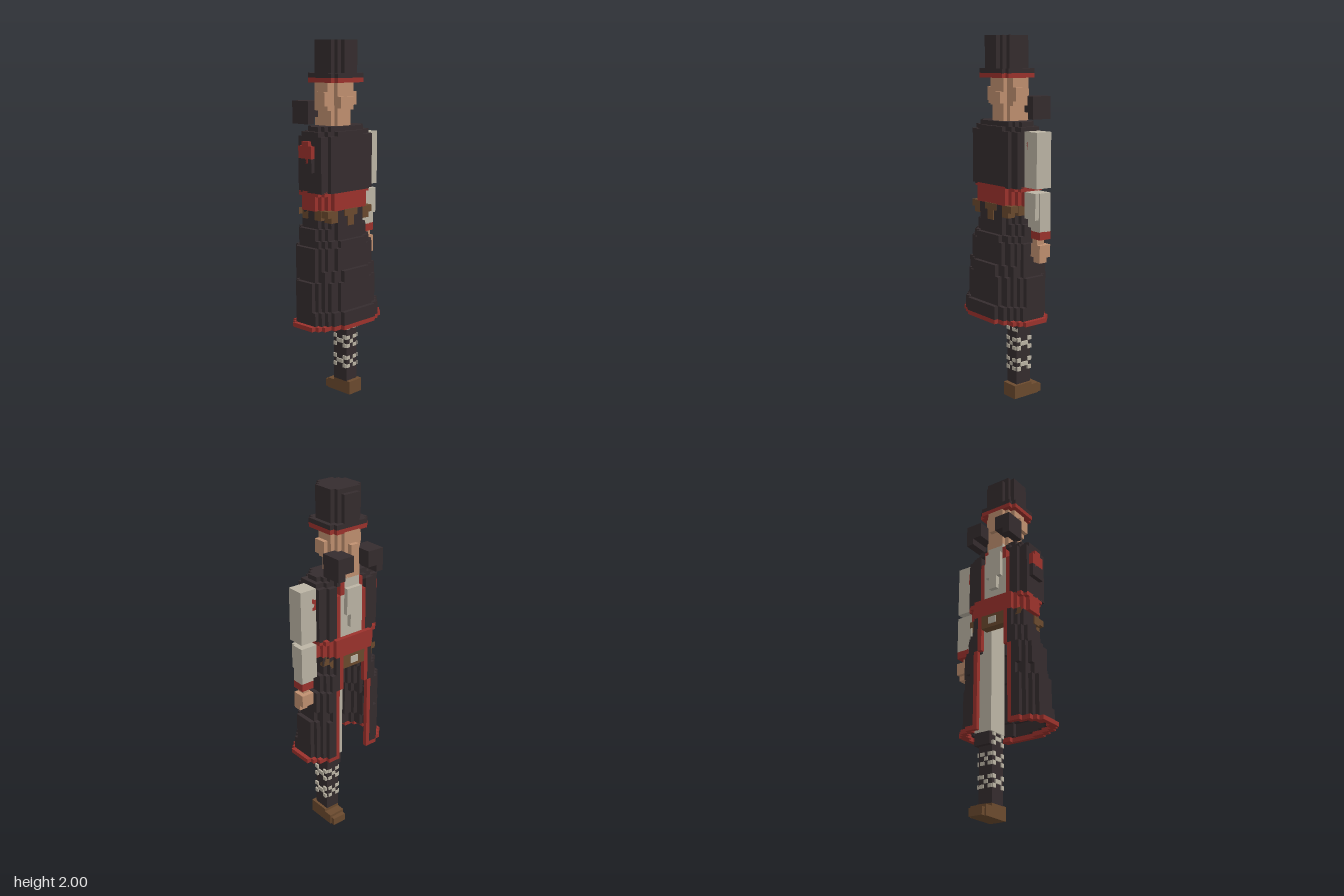
import * as THREE from 'three';
import { mergeGeometries } from 'three/addons/utils/BufferGeometryUtils.js';

const V = 2 / 81; // voxel size
const mat = (name, color) => {
  const m = new THREE.MeshStandardMaterial({ color });
  m.name = name;
  return m;
};

export function createModel() {
  const root = new THREE.Group();
  root.name = 'voxelFigure';
  const dark = mat('darkCloth', 0x352c2e), red = mat('redTrim', 0x9c322c), skin = mat('skin', 0xc09070);
  const cream = mat('creamLinen', 0xbcb5a5), brown = mat('brownLeather', 0x6b4a2e);

  // Box in voxel units: x cells i0..i1, heights y0..y1, z cells k0..k1
  const box = (i0, i1, y0, y1, k0, k1) => {
    const w = i1 - i0 + 1, d = k1 - k0 + 1, h = y1 - y0;
    return new THREE.BoxGeometry(w * V, h * V, d * V)
      .translate((i0 + i1) / 2 * V, (y0 + y1) / 2 * V, (k0 + k1) / 2 * V);
  };
  const part = (name, material, geos) => {
    const m = new THREE.Mesh(mergeGeometries(geos), material);
    m.name = name;
    root.add(m);
  };
  const boxes = (name, material, list) => part(name, material, list.map(b => box(...b)));
  // Mirror about the body axis, half a cell right of the origin
  const both = list => list.flatMap(([a, b, ...r]) => [[a, b, ...r], [-1 - b, -1 - a, ...r]]);
  // One layer of cells, joined into rows; inside(u, k) with u measured from the body axis
  const layer = (y0, y1, inside) => {
    const out = [];
    for (let k = -8; k <= 8; k++) {
      let start = null;
      for (let i = -13; i <= 13; i++) {
        const on = inside(i + 0.5, k);
        if (on && start === null) start = i;
        if (!on && start !== null) { out.push(box(start, i - 1, y0, y1, k, k)); start = null; }
      }
    }
    return out;
  };
  const oval = (u, k, a, b, c, p = 2) => Math.abs(u / a) ** p + Math.abs((k - c) / b) ** p <= 1;

  // Flared hollow coat skirt, open at the back: y0, y1, half width, z extent
  const skirt = [[18.5, 19.5, 11, 7], [19.5, 22.5, 10, 7], [22.5, 29, 10, 6], [29, 31.5, 9, 6],
    [31.5, 36.5, 9, 5], [36.5, 38, 8, 5], [38, 40.5, 8, 4], [40.5, 44.7, 7, 4]];
  const cloth = [], trim = [];
  skirt.forEach(([y0, y1, a, kmax], n) => {
    const c = (kmax - 6) / 2, b = (kmax + 6) / 2 + 0.8, gap = y0 > 36 ? 3 : 4;
    const shell = (u, k) => k >= -5 && oval(u, k, a + 0.3, b, c) &&
      !(k > -5 && oval(u, k, a - 1.4, b - 1.6, c)) && !(k < c - 1 && Math.abs(u) < gap);
    const edge = (u, k) => k < -4 && Math.abs(u) < gap + 1;
    if (n === 0) trim.push(...layer(y0, y1, shell));
    else {
      cloth.push(...layer(y0, y1, (u, k) => shell(u, k) && !edge(u, k)));
      trim.push(...layer(y0, y1, (u, k) => shell(u, k) && edge(u, k)));
    }
  });
  part('coatSkirt', dark, cloth);
  part('skirtTrim', red, trim);

  // Coat body with the shirt panel and lapels let into the back
  const body = (u, k) => oval(u, k, 8.4, 4.8, 0, 2.8);
  const opening = (u, k, w) => k <= -3 && Math.abs(u) < w;
  part('coatBody', dark, [
    ...layer(48.5, 60.7, (u, k) => body(u, k) && !opening(u, k, 4)),
    ...layer(60.7, 61.7, (u, k) => oval(u, k, 8.4, 4.6, 0) && !opening(u, k, 3)),
    ...layer(61.7, 62.7, (u, k) => oval(u, k, 7.4, 3.8, 0) && !opening(u, k, 3)),
  ]);
  boxes('lapels', red, both([[3, 3, 48.5, 58.5, -4, -3], [2, 2, 58.5, 61.5, -4, -3]]));
  boxes('shirtFront', cream, [[-3, 2, 48.5, 58.5, -4, -3], [-2, 1, 58.5, 61.5, -4, -3],
    [-2, 1, 54, 60, -5, -5], [-1, 0, 51, 54, -5, -5]]);

  // Shoulder openings
  boxes('shoulderSockets', red, [...both([[8, 8, 56, 58.7, -2, 1]]), [-9, -9, 55, 59.7, -1, 0]]);
  boxes('shoulderRim', dark, [[-9, -9, 53, 56, -2, 1]]);

  // Sash, belt and pouches
  part('sash', red, [
    ...layer(44.6, 48, (u, k) => oval(u, k, 7.6, 5, -0.5, 2.8)),
    ...layer(47.8, 48.8, (u, k) => oval(u, k, 8.4, 5, -0.5, 2.8)),
    box(-4, 3, 44.6, 48.2, -5, -5),
    box(3, 3, 41, 44.6, -5, -5), box(-4, -4, 41, 44.6, -5, -5),
  ]);
  const pouches = [];
  for (const k of [4, -5]) {
    pouches.push(...both([[4, 6, 43.2, 44.7, k - (k > 0 ? 1 : -1), k], [4, 5, 42, 43.2, k - (k > 0 ? 1 : -1), k]]));
  }
  pouches.push([-2, 1, 43.2, 44.7, 4, 4.2], [-1, 0, 41, 43.2, 4, 4.2], [-3, 2, 41.5, 44.7, -5, -4],
    ...both([[6, 6, 42.5, 44.7, -3, -2], [6, 6.2, 42.5, 44.7, 1, 2]]));
  boxes('beltPouches', brown, pouches);
  boxes('beltBuckle', cream, [[-1, 0, 42.3, 43.9, -5.2, -5.2]]);

  // Single sleeved arm on the left
  boxes('sleeve', cream, [[8, 11, 48.8, 60.8, -2, 1], [8, 10.6, 42, 47.8, -2, 1],
    [8, 11, 44, 47.8, -2, 0], [9, 11, 39.3, 44, -2, 0], [8, 10, 40, 44, -2, 0]]);
  boxes('cuff', red, [[9, 11, 37.6, 39.4, -2, 0]]);
  boxes('hand', skin, [[9.5, 10, 36, 37.7, -1, 0], [8.8, 11, 33.6, 36.4, -2, 0], [10, 11, 32.5, 33.6, -1, 0]]);

  // Single leg with trousers, boot and shoe
  boxes('trouserLeg', cream, [[1.6, 5, 18.3, 44.6, -3, 1]]);
  boxes('boot', dark, [[2, 4.4, 3, 18.4, -2, 1], [2, 5, 15.5, 18.3, -3, 1]]);
  const laces = [];
  for (const y of [6.3, 11.2, 15.6]) {
    for (const [k, dy] of [[-2, 0], [-1, 1], [0, 1], [1, 0], [-2, 2], [1, 2]]) {
      laces.push([4.3, 4.8, y + dy, y + dy + 0.9, k, k], [1.7, 2, y + dy, y + dy + 0.9, k, k]);
    }
    for (const [i, dy] of [[2, 0], [3, 1], [4, 2], [4, 0], [2, 2]]) {
      laces.push([i, i, y + dy, y + dy + 0.8, 1.2, 1.2], [i, i, y + dy, y + dy + 0.8, -2.2, -2.2]);
    }
  }
  boxes('bootLaces', cream, laces);
  boxes('shoe', brown, [[2, 5, 0, 3.1, -2, 2], [2, 5, 0, 2.4, -4, -3], [2.3, 4.7, 0, 1.8, -5, -5]]);

  // Head, ears and nose
  boxes('head', skin, [[-3, 2, 61.5, 72.2, -3, 1], [-2, 1, 62, 72.2, -4, 2], [-4, 3, 66, 72.2, -2, 1],
    [-1, 0, 66, 69.5, -5, -5], [-2, 1, 66.5, 69, 3, 3], ...both([[4, 4, 67, 70, -1, 1]])]);
  boxes('collar', cream, [[-2, 1, 61, 62.6, -4, -3]]);
  // Bushy moustache halves
  boxes('moustache', dark, both([[4.2, 5, 63, 68, -7, -3], [2, 5, 64.5, 68, -7, -3]]));

  // Tall hat with a banded brim
  part('hatBand', red, layer(72, 73, (u, k) => oval(u, k, 5.2, 4.9, 0, 2.8)));
  part('hat', dark, [
    ...layer(73, 74, (u, k) => oval(u, k, 5.2, 4.9, 0, 2.8)),
    ...layer(74, 80, (u, k) => oval(u, k, 4.2, 4.6, 0, 2.4)),
    ...layer(80, 81, (u, k) => k > -4 && oval(u, k, 4.2, 4.6, 0, 2.4)),
  ]);
  return root;
}
